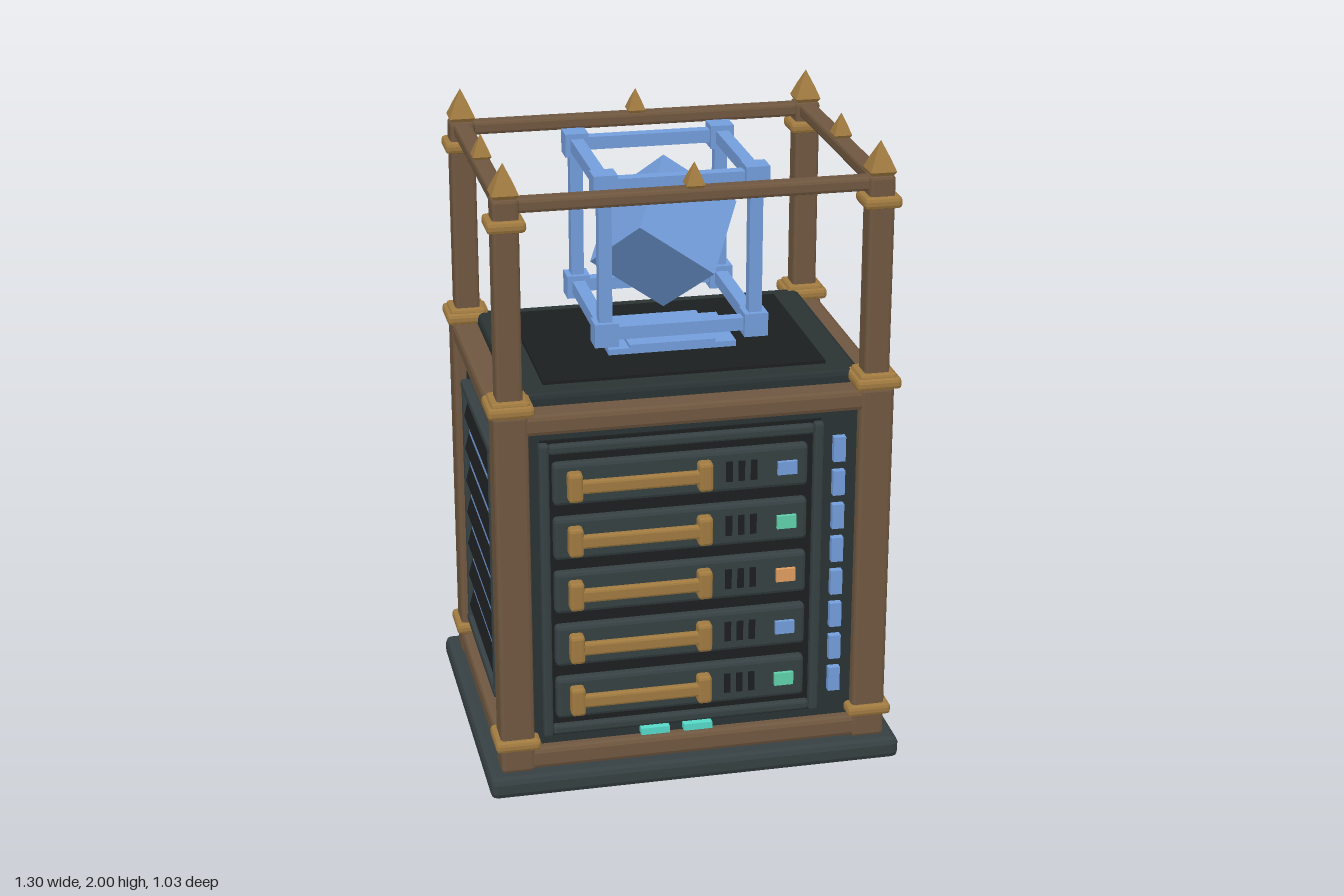
import * as THREE from 'three';
import { RoundedBoxGeometry } from 'three/addons/geometries/RoundedBoxGeometry.js';

const mat = (color) => new THREE.MeshStandardMaterial({ color, flatShading: true });
const M = {
  brown: mat(0x6f5740), gold: mat(0xa07a40), slate: mat(0x2a3233), base: mat(0x364042),
  black: mat(0x1b1e1f), blue: mat(0x739ddb), green: mat(0x5fd0aa), orange: mat(0xdf9c5e), cyan: mat(0x55d8c8),
};

export function createModel() {
  const root = new THREE.Group();
  root.name = 'serverCabinet';

  const group = (name, parent = root) => {
    const g = new THREE.Group();
    g.name = name;
    parent.add(g);
    return g;
  };
  const add = (parent, name, geo, m, x, y, z) => {
    const mesh = new THREE.Mesh(geo, m);
    mesh.name = name;
    mesh.position.set(x, y, z);
    parent.add(mesh);
    return mesh;
  };
  // Box with an optional chamfer
  const box = (parent, name, m, [w, h, d], [x, y, z], bevel = 0) =>
    add(parent, name, bevel ? new RoundedBoxGeometry(w, h, d, 1, bevel) : new THREE.BoxGeometry(w, h, d), m, x, y, z);
  // Four-sided spike with a flared foot
  const spike = (parent, name, half, h, x, y, z) => {
    const r = half * Math.SQRT2;
    const pts = [[0, 0], [r * 0.8, 0], [r, h * 0.12], [r * 0.6, h * 0.5], [0, h]].map((p) => new THREE.Vector2(...p));
    add(parent, name, new THREE.LatheGeometry(pts, 4, Math.PI / 4), M.gold, x, y, z);
  };

  const PX = 0.557, PZ = 0.42; // post centres

  // Plinth, body and lid
  box(root, 'plinth', M.base, [1.3, 0.07, 1.03], [0, 0.035, 0], 0.02);
  box(root, 'body', M.slate, [1.14, 1.15, 0.87], [0, 0.64, 0]);
  box(root, 'lid', M.slate, [1.06, 0.06, 0.78], [0, 1.247, 0], 0.015);
  box(root, 'lidInset', M.black, [0.87, 0.012, 0.63], [0, 1.281, 0]);

  // Corner posts with bands and spikes
  const posts = group('cornerPosts');
  for (const sx of [-1, 1]) for (const sz of [-1, 1]) {
    const x = sx * PX, z = sz * PZ;
    box(posts, 'lowerPost', M.brown, [0.105, 1.18, 0.105], [x, 0.655, z], 0.012);
    box(posts, 'upperPost', M.brown, [0.078, 0.65, 0.078], [x, 1.575, z], 0.01);
    for (const y of [0.163, 1.26]) box(posts, 'band', M.gold, [0.14, 0.036, 0.14], [x, y, z], 0.012);
    box(posts, 'bandStep', M.gold, [0.115, 0.03, 0.115], [x, 1.275, z], 0.01);
    box(posts, 'topBand', M.gold, [0.115, 0.036, 0.115], [x, 1.822, z], 0.012);
    spike(posts, 'finial', 0.04, 0.1, x, 1.9, z);
  }

  // Body beams, top rails and the small spikes on them
  const beams = group('beamsAndRails');
  for (const s of [-1, 1]) {
    for (const [y, h] of [[0.105, 0.07], [1.207, 0.065]]) {
      box(beams, 'longBeam', M.brown, [1.1, h, 0.1], [0, y, s * PZ], 0.015);
      box(beams, 'sideBeam', M.brown, [0.1, h, 0.84], [s * PX, y, 0], 0.015);
    }
    box(beams, 'longRail', M.brown, [1.08, 0.042, 0.055], [0, 1.875, s * PZ], 0.01);
    box(beams, 'sideRail', M.brown, [0.055, 0.042, 0.8], [s * PX, 1.875, 0], 0.01);
    spike(beams, 'smallFinial', 0.028, 0.075, 0, 1.895, s * PZ);
    spike(beams, 'smallFinial', 0.028, 0.075, s * PX, 1.895, 0);
  }

  // Rack frame on the front
  const rack = group('rack');
  const RX = -0.04;
  box(rack, 'rackBack', M.black, [0.86, 0.98, 0.01], [RX, 0.66, 0.438]);
  for (const s of [-1, 1]) {
    box(rack, 'rackUpright', M.base, [0.03, 0.97, 0.035], [RX + s * 0.42, 0.66, 0.45], 0.008);
    box(rack, 'rackCrossbar', M.base, [0.81, 0.03, 0.03], [RX, 0.66 + s * 0.465, 0.45], 0.008);
  }

  // Drawers with handle, vents and status light
  [M.blue, M.green, M.orange, M.blue, M.green].forEach((light, i) => {
    const d = group('drawer', rack);
    d.position.y = 1.015 - i * 0.1775;
    box(d, 'drawerFront', M.base, [0.78, 0.135, 0.04], [-0.045, 0, 0.452], 0.012);
    for (const x of [-0.373, 0.022]) box(d, 'handleMount', M.gold, [0.045, 0.092, 0.045], [x, 0, 0.488], 0.01);
    box(d, 'handleBar', M.gold, [0.4, 0.042, 0.026], [-0.175, 0, 0.494], 0.008);
    for (let k = 0; k < 3; k++) box(d, 'vent', M.black, [0.02, 0.065, 0.01], [0.1 + k * 0.038, 0, 0.47]);
    box(d, 'statusLight', light, [0.06, 0.042, 0.02], [0.278, 0, 0.474]);
  });

  // Light strip and indicators on the front
  for (let i = 0; i < 8; i++) box(root, 'stripLight', M.blue, [0.037, 0.08, 0.025], [0.447, 1.05 - i * 0.111, 0.445]);
  for (const x of [-0.125, 0.01]) box(root, 'indicator', M.cyan, [0.09, 0.022, 0.03], [x, 0.16, 0.45]);

  // Louvred grille on each side
  for (const s of [-1, 1]) {
    const g = group('sideGrille');
    g.position.x = s * 0.57;
    box(g, 'grilleBack', M.black, [0.01, 0.84, 0.55], [s * 0.003, 0.66, 0]);
    box(g, 'grilleGlow', M.blue, [0.014, 0.79, 0.49], [s * 0.006, 0.66, 0]);
    for (const t of [-1, 1]) {
      box(g, 'grilleUpright', M.base, [0.03, 0.84, 0.028], [s * 0.015, 0.66, t * 0.268], 0.008);
      box(g, 'grilleCrossbar', M.base, [0.035, 0.03, 0.57], [s * 0.015, 0.66 + t * 0.412, 0], 0.008);
    }
    for (let i = 0; i < 7; i++) {
      const slat = box(g, 'slat', M.black, [0.012, 0.053, 0.5], [s * 0.015, 0.996 - i * 0.1115, 0]);
      slat.rotation.z = s * 0.25;
    }
  }

  // Stepped pad below the cage
  box(root, 'lowerPad', M.blue, [0.4, 0.018, 0.27], [0, 1.296, 0]);
  box(root, 'upperPad', M.blue, [0.27, 0.014, 0.27], [0, 1.309, 0]);

  // Open cage: corner blocks and twelve bars
  const cage = group('cage');
  cage.position.y = 1.629;
  const C = 0.23;
  for (const a of [-C, C]) for (const b of [-C, C]) {
    for (const c of [-C, C]) box(cage, 'cageCorner', M.blue, [0.073, 0.073, 0.073], [a, b, c]);
    box(cage, 'cageBar', M.blue, [2 * C, 0.04, 0.04], [0, a, b]);
    box(cage, 'cageBar', M.blue, [0.04, 2 * C, 0.04], [a, 0, b]);
    box(cage, 'cageBar', M.blue, [0.04, 0.04, 2 * C], [a, b, 0]);
  }

  // Core cube balanced on one corner
  const axis = (deg) => {
    const t = THREE.MathUtils.degToRad(deg), r = Math.sqrt(2 / 3);
    return new THREE.Vector3(r * Math.cos(t), Math.sqrt(1 / 3), r * Math.sin(t));
  };
  const core = box(root, 'coreCube', M.blue, [0.281, 0.281, 0.281], [0, 1.628, 0]);
  core.quaternion.setFromRotationMatrix(new THREE.Matrix4().makeBasis(axis(180), axis(60), axis(-60)));

  return root;
}
